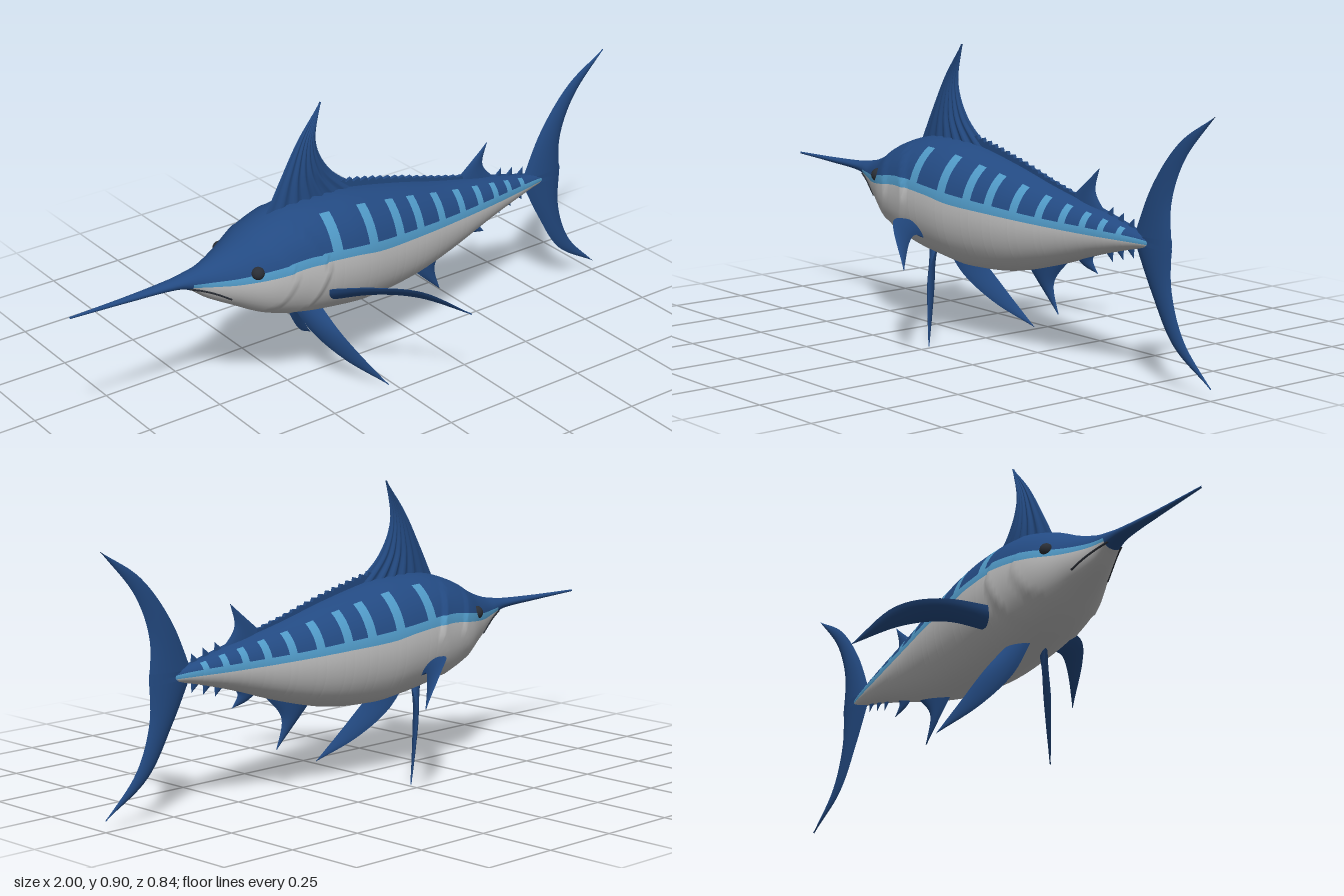
import * as THREE from 'three';

const paint = (name, color) => {
  const m = new THREE.MeshStandardMaterial({ color });
  m.name = name;
  return m;
};

// body stations: x, top, bottom, half width, side band top, side band bottom
const STATIONS = [
  [-1, .463, .457, .003, .461, .459],
  [-.8, .468, .45, .012, .461, .457],
  [-.65, .475, .443, .024, .459, .452],
  [-.6, .482, .428, .034, .455, .445],
  [-.55, .492, .39, .05, .453, .439],
  [-.47, .522, .345, .09, .458, .438],
  [-.37, .572, .293, .138, .476, .45],
  [-.25, .605, .258, .158, .49, .462],
  [-.1, .607, .235, .163, .478, .452],
  [0, .595, .227, .157, .467, .437],
  [.17, .56, .24, .135, .453, .427],
  [.33, .52, .278, .105, .44, .418],
  [.54, .475, .345, .062, .43, .41],
  [.7, .437, .387, .028, .422, .407],
  [.77, .42, .398, .01, .413, .405],
];

// smooth interpolation of the stations
function profile(x) {
  const S = STATIONS, last = S.length - 1;
  let i = 0;
  while (i < last - 1 && x > S[i + 1][0]) i++;
  const slope = (k, c) => {
    const a = S[Math.max(k - 1, 0)], b = S[Math.min(k + 1, last)];
    return (b[c] - a[c]) / (b[0] - a[0]);
  };
  const w = S[i + 1][0] - S[i][0], t = (x - S[i][0]) / w, t2 = t * t, t3 = t2 * t;
  const [top, bottom, half, bandTop, bandBottom] = [1, 2, 3, 4, 5].map(c =>
    S[i][c] * (2 * t3 - 3 * t2 + 1) + S[i + 1][c] * (3 * t2 - 2 * t3)
    + w * (slope(i, c) * (t3 - 2 * t2 + t) + slope(i + 1, c) * (t3 - t2)));
  return { top, bottom, half, bandTop, bandBottom, mid: (top + bottom) / 2, h: (top - bottom) / 2 };
}
const angleAt = (p, y) => Math.acos(THREE.MathUtils.clamp((y - p.mid) / p.h, -.97, .97));

// point of the skin at angle a (0 = back, PI = belly), with raised cheek and gill cover
function skin(x, a) {
  const p = profile(x), s = Math.sin(a), c = Math.cos(a);
  let z = p.half * Math.sign(s) * Math.pow(Math.abs(s), c < 0 ? .82 : 1);
  for (const [edge, rise] of [[-.2, .009], [-.31, .006]]) {
    const d = x - (edge - .1 * Math.pow(Math.abs(c), 1.5));
    if (d < 0) z *= 1 + rise / .15 * Math.exp(d / .05);
  }
  return new THREE.Vector3(x, p.mid + p.h * c, z);
}
const skinAtHeight = (x, y) => skin(x, angleAt(profile(x), y));

// body and bill in one loft, with faces sorted into back, band and belly colours
function bodyGeometry() {
  const bars = [-.165, -.03, .08, .167, .265, .36, .445, .52, .585, .65]
    .map((x, i) => [x - .018 + i * .0009, x + .018 - i * .0009]);
  const xs = bars.flat();
  for (let i = 0; i <= 160; i++) xs.push(-1 + 1.77 * i / 160);
  xs.push(-.6);
  xs.sort((a, b) => a - b);
  const rows = [5, 5, 2, 11], half = rows.reduce((a, b) => a + b), ring = half * 2;
  const pos = [], lists = [[], [], []];
  for (const x of xs) {
    const p = profile(x), barTop = p.bandTop + .8 * (p.top - p.bandTop);
    const marks = [0, angleAt(p, barTop), angleAt(p, p.bandTop), angleAt(p, p.bandBottom), Math.PI];
    const angles = [0];
    rows.forEach((n, k) => {
      for (let j = 1; j <= n; j++) angles.push(THREE.MathUtils.lerp(marks[k], marks[k + 1], j / n));
    });
    for (let j = 0; j < ring; j++) {
      pos.push(...skin(x, j <= half ? angles[j] : 2 * Math.PI - angles[ring - j]).toArray());
    }
  }
  for (let i = 0; i < xs.length - 1; i++) {
    const x = (xs[i] + xs[i + 1]) / 2, inBar = bars.some(b => x > b[0] && x < b[1]);
    for (let j = 0; j < ring; j++) {
      const r = j < half ? j : ring - 1 - j;
      let colour = r < 5 ? 0 : r < 10 ? (inBar ? 1 : 0) : r < 12 ? 1 : 2;
      if (x < -.6) colour = 0;
      const a = i * ring + j, b = i * ring + (j + 1) % ring;
      lists[colour].push(a, b, a + ring, b, b + ring, a + ring);
    }
  }
  const g = new THREE.BufferGeometry();
  g.setAttribute('position', new THREE.Float32BufferAttribute(pos, 3));
  g.setIndex(lists.flat());
  let start = 0;
  lists.forEach((l, k) => { g.addGroup(start, l.length, k); start += l.length; });
  g.computeVertexNormals();
  return g;
}

// lens-shaped blade between a leading and a trailing edge, root to tip
function finGeometry(lead, trail, thick, rays = 0) {
  const curve = pts => new THREE.CatmullRomCurve3(pts.map(([x, y, z = 0]) => new THREE.Vector3(x, y, z)));
  const A = curve(lead), B = curve(trail), nu = 24, nv = rays ? rays * 5 : 8;
  const pos = [], index = [];
  for (const side of [1, -1]) {
    const base = pos.length / 3;
    for (let i = 0; i <= nu; i++) {
      const u = i / nu, v = Math.min(u, .95), a = A.getPoint(u), b = B.getPoint(u);
      const chord = B.getPoint(v).sub(A.getPoint(v));
      const n = A.getTangent(v).add(B.getTangent(v)).cross(chord).normalize();
      for (let j = 0; j <= nv; j++) {
        const s = j / nv;
        let t = thick * Math.pow(Math.max(Math.sin(Math.PI * s), 0), .7) * (1 - .85 * u);
        if (rays) t *= 1 + .3 * Math.cos(2 * Math.PI * rays * s);
        pos.push(...a.clone().lerp(b, s).addScaledVector(n, side * t).toArray());
      }
    }
    for (let i = 0; i < nu; i++) for (let j = 0; j < nv; j++) {
      const p = base + i * (nv + 1) + j, q = p + nv + 1;
      if (side > 0) index.push(p, q, p + 1, p + 1, q, q + 1);
      else index.push(p, p + 1, q, p + 1, q + 1, q);
    }
  }
  const g = new THREE.BufferGeometry();
  g.setAttribute('position', new THREE.Float32BufferAttribute(pos, 3));
  g.setIndex(index);
  g.computeVertexNormals();
  return g;
}

// low saw-toothed crest running along the back
function crestGeometry() {
  const s = new THREE.Shape(), n = 17, x0 = -.06, x1 = .43;
  s.moveTo(x0, profile(x0).top - .03);
  for (let i = 0; i < n; i++) {
    const x = x0 + (x1 - x0) * i / n, step = (x1 - x0) / n, rise = .03 - .018 * i / n;
    s.lineTo(x, profile(x).top + rise * .55);
    s.lineTo(x + step * .85, profile(x + step).top + rise);
  }
  s.lineTo(x1, profile(x1).top - .03);
  const g = new THREE.ExtrudeGeometry(s, { depth: .012, bevelEnabled: false });
  return g.translate(0, 0, -.006);
}

export function createModel() {
  const model = new THREE.Group();
  const blue = paint('deep blue', 0x234a82), sky = paint('light blue', 0x5099c6);
  const pale = paint('pale grey', 0xbebebe), dark = paint('dark grey', 0x2a2e35);
  const add = (name, geometry, material = blue) => {
    const m = new THREE.Mesh(geometry, material);
    m.name = name;
    model.add(m);
    return m;
  };

  add('bodyAndBill', bodyGeometry(), [blue, sky, pale]);

  // fins on the centre line
  add('dorsalFin', finGeometry(
    [[-.33, .57], [-.265, .69], [-.2, .8], [-.118, .902]],
    [[.04, .58], [-.085, .675], [-.135, .775], [-.118, .902]], .02, 7));
  add('backCrest', crestGeometry());
  add('secondDorsalFin', finGeometry(
    [[.38, .48], [.45, .535], [.525, .596]], [[.57, .455], [.51, .525], [.525, .596]], .012));
  add('analFin', finGeometry(
    [[.2, .265], [.265, .205], [.345, .133]], [[.4, .31], [.325, .225], [.345, .133]], .014));
  add('secondAnalFin', finGeometry(
    [[.41, .33], [.46, .3], [.522, .285]], [[.55, .365], [.5, .325], [.522, .285]], .01));
  add('upperTailLobe', finGeometry(
    [[.67, .405], [.75, .575], [.86, .71], [1, .797]],
    [[.835, .395], [.83, .53], [.88, .66], [1, .797]], .016));
  add('lowerTailLobe', finGeometry(
    [[.67, .425], [.752, .27], [.845, .13], [1, .033]],
    [[.835, .43], [.835, .29], [.885, .155], [1, .033]], .016));

  // small finlets in front of the tail
  for (const x of [.565, .61, .655]) {
    for (const [name, edge, d] of [['upperFinlet', 'top', 1], ['lowerFinlet', 'bottom', -1]]) {
      const y = profile(x)[edge], tip = [x + .022, y + d * .022];
      add(name, finGeometry([[x - .025, y - d * .015], tip], [[x + .025, y - d * .02], tip], .006));
    }
  }

  // paired parts
  for (const [side, k] of [['left', 1], ['right', -1]]) {
    const flip = pts => pts.map(([x, y, z]) => [x, y, z * k]);
    add(side + 'PectoralFin', finGeometry(
      flip([[-.22, .355, .12], [-.11, .388, .265], [0, .378, .352], [.138, .288, .417]]),
      flip([[-.15, .305, .12], [-.075, .338, .215], [.02, .335, .31], [.138, .288, .417]]), .012));
    add(side + 'PelvicFin', finGeometry(
      flip([[-.245, .27, .025], [-.19, .17, .055], [-.115, .08, .12], [-.015, 0, .21]]),
      flip([[-.17, .27, .06], [-.135, .185, .12], [-.08, .095, .165], [-.015, 0, .21]]), .012));

    const eye = add(side + 'Eye', new THREE.SphereGeometry(.021, 20, 14), dark);
    const e = skinAtHeight(-.42, .468);
    eye.position.set(e.x, e.y, (e.z - .009) * k);

    const mouth = [[-.61, .441], [-.57, .428], [-.53, .41], [-.49, .387]].map(([x, y]) => {
      const p = skinAtHeight(x, y);
      return p.setZ(p.z * k);
    });
    add(side + 'MouthLine',
      new THREE.TubeGeometry(new THREE.CatmullRomCurve3(mouth), 20, .0035, 6), dark);
  }
  return model;
}
